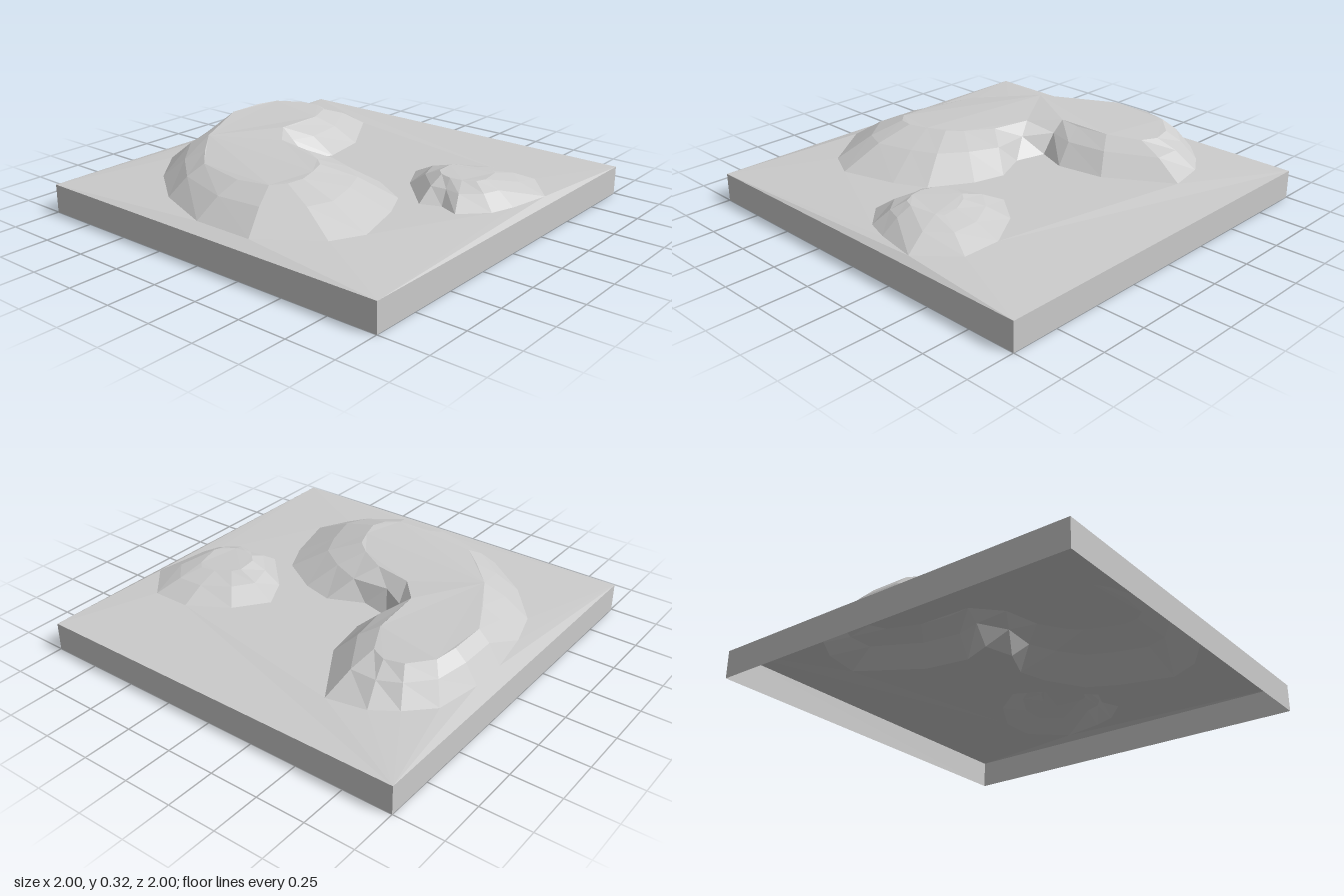
import * as THREE from 'three';

const EDGE = 0.145, FOOT = 0.167;
const material = new THREE.MeshStandardMaterial({ color: 0xcccccc, flatShading: true, side: THREE.DoubleSide });

// Each row: foot x, foot z, crest x, crest z, crest height
const ridgeRows = [
  [-0.92, 0.24, -0.66, 0.12, 0.31], [-0.92, -0.08, -0.68, -0.06, 0.3],
  [-0.8, -0.4, -0.62, -0.34, 0.3], [-0.62, -0.64, -0.5, -0.46, 0.31],
  [-0.4, -0.82, -0.34, -0.6, 0.32], [-0.2, -0.88, -0.16, -0.7, 0.31],
  [0.04, -0.92, 0.04, -0.8, 0.32], [0.24, -0.92, 0.24, -0.8, 0.32],
  [0.48, -0.88, 0.36, -0.78, 0.315], [0.6, -0.76, 0.46, -0.68, 0.305],
  [0.68, -0.64, 0.48, -0.58, 0.3], [0.72, -0.44, 0.44, -0.5, 0.3],
  [0.4, -0.24, 0.28, -0.42, 0.31], [0.16, -0.2, 0.1, -0.4, 0.31],
  [0, -0.26, 0, -0.4, 0.32], [-0.04, -0.1, -0.14, -0.28, 0.31],
  [0.04, 0.08, -0.18, -0.08, 0.31], [0, 0.24, -0.26, 0.06, 0.315],
  [-0.12, 0.44, -0.32, 0.13, 0.32], [-0.28, 0.52, -0.42, 0.17, 0.32],
  [-0.56, 0.6, -0.52, 0.2, 0.32], [-0.72, 0.52, -0.6, 0.18, 0.315],
];
const moundRows = [
  [-0.12, 0.76, 0.05, 0.68, 0.265], [-0.08, 0.66, 0.04, 0.62, 0.265],
  [-0.12, 0.56, 0.06, 0.56, 0.265], [0.08, 0.36, 0.1, 0.52, 0.265],
  [0.24, 0.28, 0.2, 0.51, 0.262], [0.4, 0.4, 0.24, 0.54, 0.258],
  [0.52, 0.6, 0.28, 0.62, 0.252], [0.52, 0.8, 0.29, 0.7, 0.25],
  [0.34, 0.96, 0.26, 0.73, 0.255], [0.12, 0.92, 0.13, 0.76, 0.265],
  [0, 0.88, 0.08, 0.74, 0.265],
];

// Mesh from point triples, with every face turned upwards
function landMesh(name, triangles) {
  const points = [];
  for (const [a, b, c] of triangles) {
    const up = (b.z - a.z) * (c.x - a.x) - (b.x - a.x) * (c.z - a.z);
    points.push(a, ...(up >= 0 ? [b, c] : [c, b]));
  }
  const geometry = new THREE.BufferGeometry().setFromPoints(points);
  geometry.computeVertexNormals();
  const mesh = new THREE.Mesh(geometry, material);
  mesh.name = name;
  return mesh;
}

// Triangulate a flat outline with holes, keeping each point's height
function fill(outline, holes = []) {
  const flat = (ring) => ring.map((p) => new THREE.Vector2(p.x, p.z));
  const all = [outline, ...holes].flat();
  return THREE.ShapeUtils.triangulateShape(flat(outline), holes.map(flat))
    .map((face) => face.map((i) => all[i]));
}

const footRing = (rows) => rows.map(([x, z]) => new THREE.Vector3(x, FOOT, z));

// Hill: foot ring, shoulder ring and crest ring, capped by a plateau
function hill(name, rows) {
  const foot = footRing(rows);
  const crest = rows.map((r) => new THREE.Vector3(r[2], r[4], r[3]));
  const shoulder = foot.map((p, i) => {
    const s = p.clone().lerp(crest[i], 0.52);
    s.y = THREE.MathUtils.lerp(p.y, crest[i].y, 0.64);
    return s;
  });
  const triangles = fill(crest);
  for (const [low, high] of [[foot, shoulder], [shoulder, crest]]) {
    low.forEach((p, i) => {
      const j = (i + 1) % low.length;
      triangles.push([p, low[j], high[j]], [p, high[j], high[i]]);
    });
  }
  return landMesh(name, triangles);
}

export function createModel() {
  const group = new THREE.Group();
  group.name = 'terrainTile';

  // Open-bottomed square skirt
  const skirtGeometry = new THREE.CylinderGeometry(Math.SQRT2, Math.SQRT2, EDGE, 4, 1, true);
  skirtGeometry.rotateY(Math.PI / 4).translate(0, EDGE / 2, 0);
  const skirt = new THREE.Mesh(skirtGeometry, material);
  skirt.name = 'skirt';

  // Ground rising gently from the rim to the feet of the hills
  const rim = [[-1, -1], [1, -1], [1, 1], [-1, 1]].map(([x, z]) => new THREE.Vector3(x, EDGE, z));
  const ground = landMesh('ground', fill(rim, [footRing(ridgeRows), footRing(moundRows)]));

  group.add(skirt, ground, hill('curvedRidge', ridgeRows), hill('smallMound', moundRows));
  return group;
}
